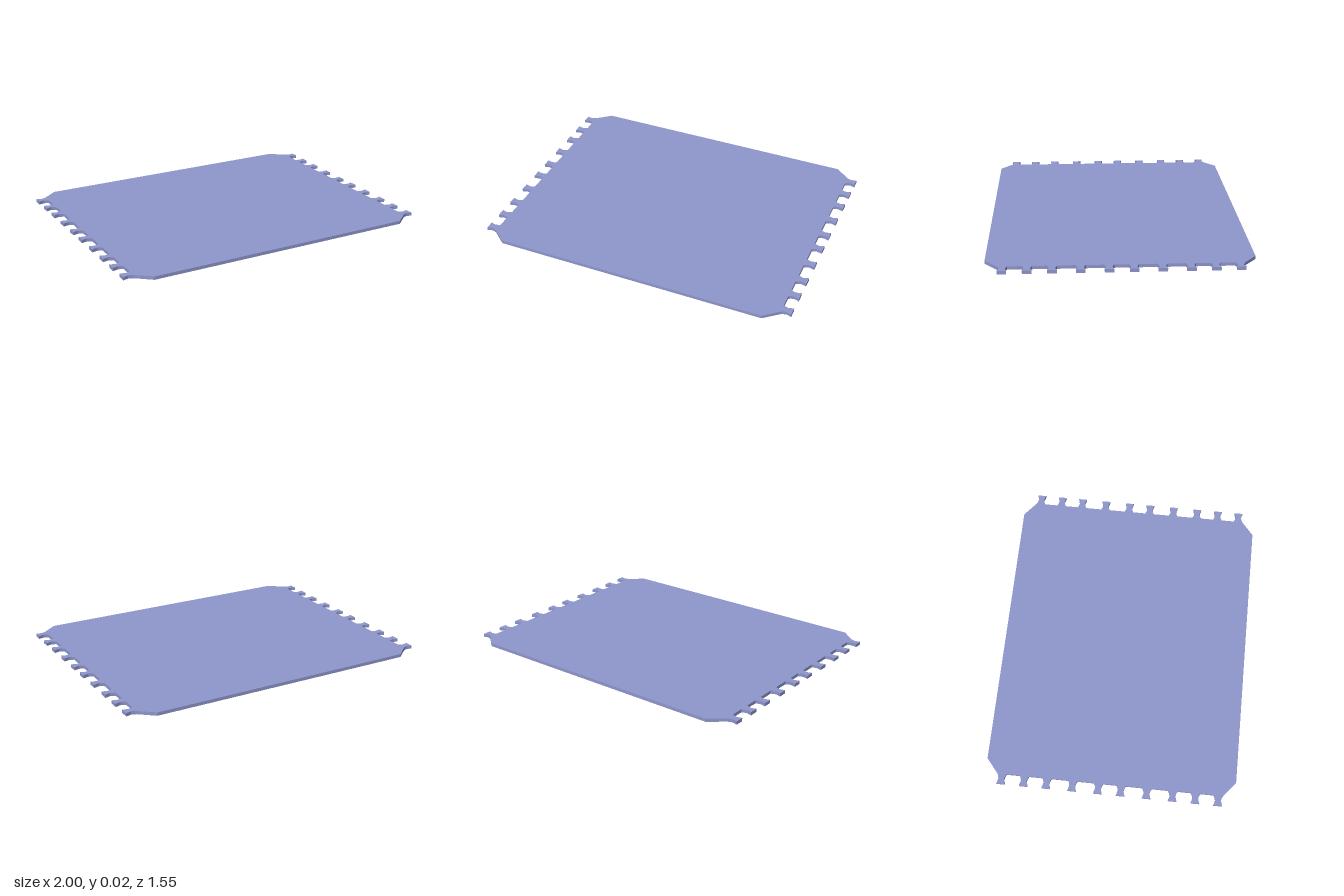
import * as THREE from 'three';

const THICKNESS = 0.02;

// half-outline of one connector: [x, half width], from the panel edge to the tip
const TOOTH = [[0.937, 0.029], [0.952, 0.022], [0.967, 0.018], [0.98, 0.021], [1, 0.027]];
const TOOTH_Z = [0.07, 0.23, 0.39, 0.53, 0.67];

export function createModel() {
  const group = new THREE.Group();
  group.name = 'interlockingPanel';

  // left edge from back to front: chamfer, waisted connectors, chamfer
  const centres = [...TOOTH_Z.map((z) => -z).reverse(), ...TOOTH_Z];
  const edge = [[0.848, -0.773]];
  for (const z of centres) {
    for (const [x, w] of TOOTH) edge.push([x, z - w]);
    for (const [x, w] of [...TOOTH].reverse()) edge.push([x, z + w]);
  }
  edge.push([0.848, 0.773]);

  // mirror the edge to close the outline
  const mirrored = edge.map(([x, z]) => [-x, z]).reverse();
  const outline = [...edge, ...mirrored].map(([x, z]) => new THREE.Vector2(x, z));

  // flat slab, laid down with its underside on the ground
  const geometry = new THREE.ExtrudeGeometry(new THREE.Shape(outline), {
    depth: THICKNESS,
    bevelEnabled: false,
  });
  geometry.rotateX(Math.PI / 2);
  geometry.translate(0, THICKNESS, 0);

  const panel = new THREE.Mesh(geometry, new THREE.MeshStandardMaterial({ color: 0x8f96cc }));
  panel.name = 'panel';
  group.add(panel);
  return group;
}
